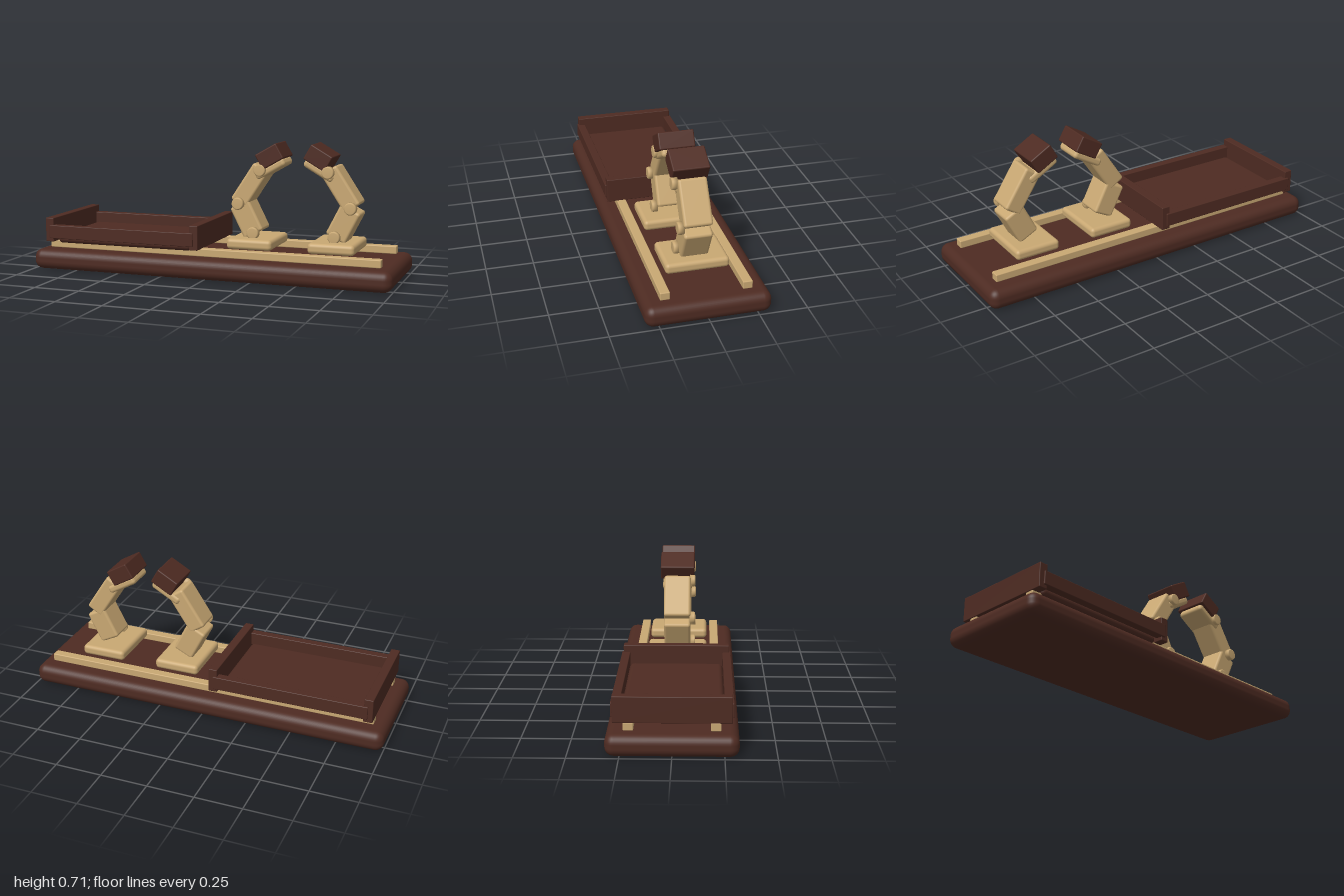
import * as THREE from 'three';
import { RoundedBoxGeometry } from 'three/addons/geometries/RoundedBoxGeometry.js';

const darkWood = new THREE.MeshStandardMaterial({ color: 0x4e2b22 });
darkWood.name = 'darkWood';
const paleWood = new THREE.MeshStandardMaterial({ color: 0xc9a873 });
paleWood.name = 'paleWood';

// Rounded box placed by its centre
function block(parent, name, material, size, centre, radius, tilt = 0) {
  const mesh = new THREE.Mesh(new RoundedBoxGeometry(...size, 4, radius), material);
  mesh.name = name;
  mesh.position.set(...centre);
  mesh.rotation.z = tilt;
  parent.add(mesh);
  return mesh;
}

// Box running between two points of the arm, reaching a little past both
function limb(parent, name, from, to, width, depth, overhang) {
  const dx = to[0] - from[0], dy = to[1] - from[1];
  const length = Math.hypot(dx, dy) + 2 * overhang;
  const centre = [(from[0] + to[0]) / 2, (from[1] + to[1]) / 2, 0];
  block(parent, name, paleWood, [width, length, depth], centre, 0.014, Math.atan2(-dx, dy));
}

// Round joint cap with a softened rim, facing +z
function jointCap(parent, name, x, y) {
  const profile = [[0, 0], [0.033, 0], [0.033, 0.024], [0.031, 0.03], [0.026, 0.032], [0, 0.032]]
    .map(([r, h]) => new THREE.Vector2(r, h));
  const mesh = new THREE.Mesh(new THREE.LatheGeometry(profile, 32), paleWood);
  mesh.name = name;
  mesh.rotation.x = Math.PI / 2;
  mesh.position.set(x, y, 0.068);
  parent.add(mesh);
}

// One bent arm; side = 1 leans its head toward +x, -1 toward -x
function createArm(name, centreX, side) {
  const arm = new THREE.Group();
  arm.name = name;
  const at = (x, y) => [side * x, y];
  const foot = at(0, 0.178), hip = at(0, 0.23), elbow = at(-0.085, 0.386), wrist = at(0.037, 0.57);

  block(arm, 'foot', paleWood, [0.25, 0.056, 0.33], [...foot, 0], 0.02);
  limb(arm, 'lowerArm', at(-0.005, 0.228), at(-0.08, 0.375), 0.118, 0.146, 0.008);
  limb(arm, 'upperArm', at(-0.085, 0.393), at(0.033, 0.573), 0.098, 0.148, 0.012);
  block(arm, 'wristPlate', paleWood, [0.18, 0.046, 0.164], [...at(0.089, 0.577), 0], 0.018, side * Math.PI / 6);
  block(arm, 'headBlock', darkWood, [0.133, 0.09, 0.19], [...at(0.09, 0.645), 0], 0.007, side * Math.PI / 6);
  jointCap(arm, 'hipCap', ...hip);
  jointCap(arm, 'elbowCap', ...elbow);
  jointCap(arm, 'wristCap', ...wrist);

  arm.position.x = centreX;
  return arm;
}

export function createModel() {
  const model = new THREE.Group();
  model.name = 'deskStation';

  block(model, 'base', darkWood, [2, 0.11, 0.64], [0, 0.055, 0], 0.045);

  // Long rails above the base
  for (const s of [1, -1]) {
    block(model, s > 0 ? 'frontRail' : 'backRail', paleWood, [1.86, 0.042, 0.05], [0, 0.134, s * 0.209], 0.005);
  }

  // Tray with raised walls
  const tray = new THREE.Group();
  tray.name = 'tray';
  tray.position.x = -0.485;
  model.add(tray);
  block(tray, 'trayFloor', darkWood, [0.79, 0.05, 0.5], [0, 0.165, 0], 0.024);
  for (const s of [1, -1]) {
    block(tray, s > 0 ? 'frontWall' : 'backWall', darkWood, [0.845, 0.073, 0.045], [0, 0.209, s * 0.272], 0.004);
    block(tray, s > 0 ? 'leftEndWall' : 'rightEndWall', darkWood, [0.048, 0.132, 0.572], [s * 0.424, 0.219, 0], 0.004);
  }

  model.add(createArm('rightArm', 0.205, 1));
  model.add(createArm('leftArm', 0.65, -1));
  return model;
}
